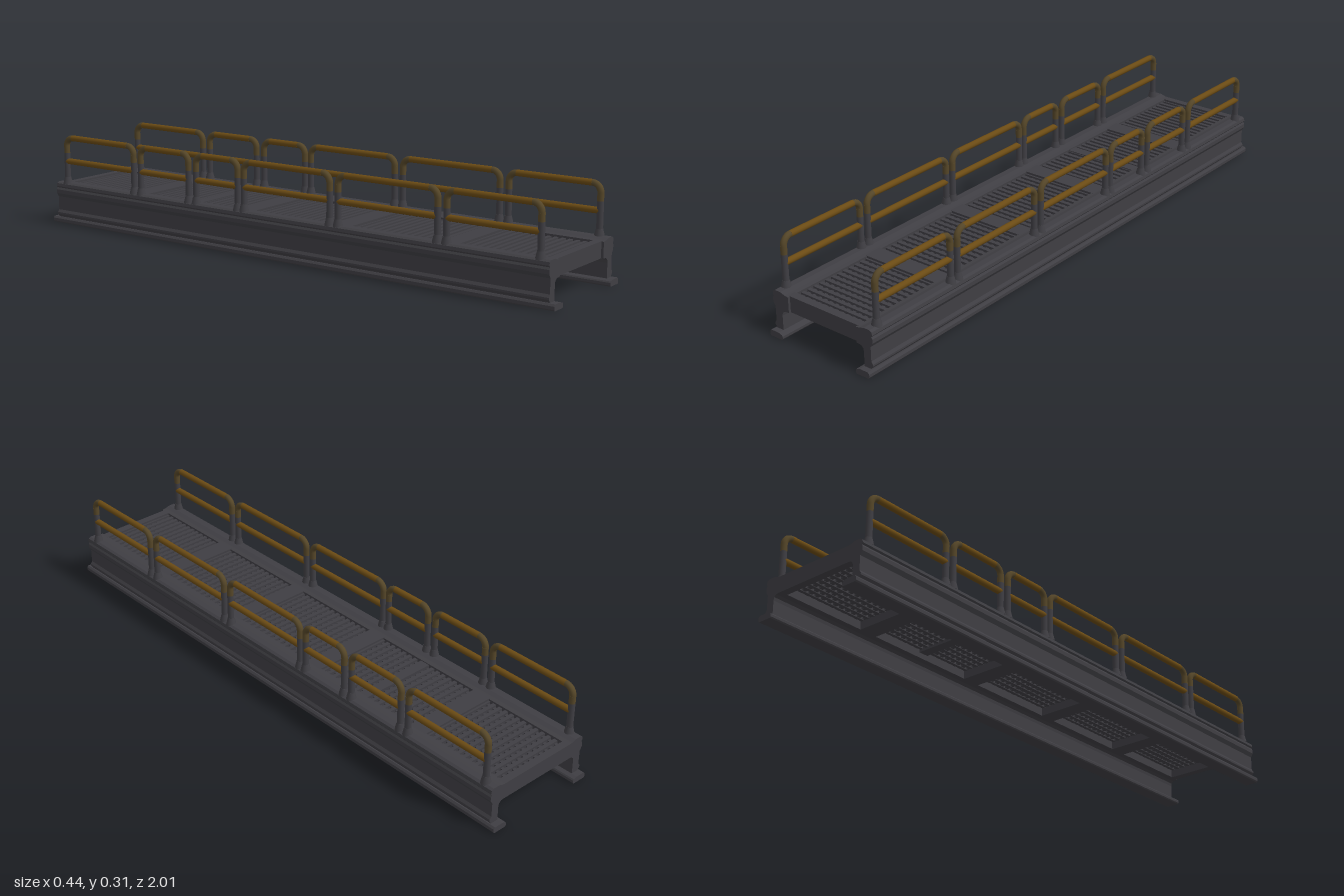
import * as THREE from 'three';

const steel = new THREE.MeshStandardMaterial({ color: 0x3f3e43 });
steel.name = 'dark steel';
const ochre = new THREE.MeshStandardMaterial({ color: 0x6b4b14 });
ochre.name = 'ochre paint';
const worn = new THREE.MeshStandardMaterial({ color: 0x554628 });
worn.name = 'worn ochre paint';

function add(parent, name, geometry, material, x = 0, y = 0, z = 0) {
  const mesh = new THREE.Mesh(geometry, material);
  mesh.name = name;
  mesh.position.set(x, y, z);
  parent.add(mesh);
  return mesh;
}

const box = (w, h, d) => new THREE.BoxGeometry(w, h, d);

// Extrude an outline of [x, y] points along z, mirrored by side, centred on z = 0
function extrudeSide(points, side, length) {
  const shape = new THREE.Shape(points.map(([x, y]) => new THREE.Vector2(x * side, y)));
  const geometry = new THREE.ExtrudeGeometry(shape, { depth: length, bevelEnabled: false });
  return geometry.translate(0, 0, -length / 2);
}

// Side girder: channel section with a foot flange and a swollen top rim
function girder(side) {
  const group = new THREE.Group();
  group.name = side > 0 ? 'leftGirder' : 'rightGirder';
  add(group, 'web', extrudeSide([
    [0.163, 0.01], [0.19, 0.01], [0.19, 0.022], [0.196, 0.03], [0.196, 0.036], [0.19, 0.045],
    [0.19, 0.092], [0.198, 0.105], [0.198, 0.118], [0.194, 0.125], [0.198, 0.13],
    [0.196, 0.14], [0.188, 0.145], [0.166, 0.145], [0.15, 0.14], [0.135, 0.138],
    [0.135, 0.087], [0.153, 0.085], [0.161, 0.078], [0.163, 0.068],
  ], side, 1.96), steel);
  add(group, 'footFlange', extrudeSide([
    [0.15, 0], [0.196, 0], [0.199, 0.004], [0.199, 0.014], [0.194, 0.02],
    [0.163, 0.02], [0.15, 0.016], [0.147, 0.012], [0.147, 0.004],
  ], side, 2), steel);
  return group;
}

// Railing panel between two outer z values, with rounded top corners
function railPanel(x, z0, z1) {
  const group = new THREE.Group();
  group.name = 'railPanel';
  const r = 0.0105, bend = 0.028, top = 0.304;
  const a = z0 + r, b = z1 - r, mid = (a + b) / 2;
  const bar = (length) => new THREE.CylinderGeometry(r, r, length, 12);
  for (const [z, dir] of [[a, -1], [b, 1]]) {
    add(group, 'post', bar(0.12), steel, x, 0.19, z);
    add(group, 'postTop', bar(0.026), worn, x, 0.263, z);
    add(group, 'postSocket', new THREE.CylinderGeometry(0.011, 0.017, 0.025, 12), steel, x, 0.153, z);
    const corner = add(group, 'railCorner', new THREE.TorusGeometry(bend, r, 10, 8, Math.PI / 2),
      worn, x, top - bend, z - dir * bend);
    corner.rotation.y = -dir * Math.PI / 2;
  }
  add(group, 'topRail', bar(b - a - 2 * bend), ochre, x, top, mid).rotation.x = Math.PI / 2;
  add(group, 'midRail', bar(b - a), ochre, x, 0.221, mid).rotation.x = Math.PI / 2;
  return group;
}

// Open grating: crosswise slats over lengthwise bars
function grating(z0, z1) {
  const group = new THREE.Group();
  group.name = 'grating';
  const length = z1 - z0, mid = (z0 + z1) / 2;
  const rows = Math.round(length / 0.025), columns = 13;
  for (let i = 0; i <= rows; i++) {
    add(group, 'slat', box(0.31, 0.018, 0.013), steel, 0, 0.123, z0 + (length * i) / rows);
  }
  for (let i = 0; i <= columns; i++) {
    add(group, 'gratingBar', box(0.011, 0.014, length), steel, -0.148 + (0.296 * i) / columns, 0.119, mid);
  }
  return group;
}

export function createModel() {
  const root = new THREE.Group();
  root.name = 'walkwayBridge';
  const bridge = new THREE.Group();
  bridge.name = 'bridge';
  bridge.rotation.y = 0.0225; // the walkway lies slightly askew
  root.add(bridge);

  // Girders and railings on both sides
  const panels = [[-0.952, -0.615], [-0.604, -0.37], [-0.358, -0.16],
    [-0.155, 0.208], [0.219, 0.604], [0.615, 0.952]];
  for (const side of [-1, 1]) {
    bridge.add(girder(side));
    for (const [z0, z1] of panels) bridge.add(railPanel(side * 0.18, z0, z1));
  }

  // Cross beams between the gratings
  const beams = [[-0.98, -0.955], [-0.66, -0.595], [-0.195, -0.13],
    [0.195, 0.255], [0.585, 0.65], [0.945, 0.972]];
  for (const [z0, z1] of beams) {
    add(bridge, 'crossBeam', box(0.33, 0.053, z1 - z0), steel, 0, 0.1125, (z0 + z1) / 2);
  }
  add(bridge, 'middleSlat', box(0.31, 0.03, 0.035), steel, 0, 0.12, -0.385);

  // Gratings fill the bays
  for (let i = 0; i < beams.length - 1; i++) bridge.add(grating(beams[i][1], beams[i + 1][0]));

  // Clogged areas of the gratings: [x0, x1, z0, z1]
  const clogged = [
    [-0.155, 0.02, -0.595, -0.4], [-0.155, 0, -0.13, 0.02], [-0.155, 0.155, 0.02, 0.1],
    [-0.155, 0.06, 0.255, 0.4], [-0.155, 0.155, 0.69, 0.8], [-0.1, 0.155, 0.8, 0.88],
  ];
  for (const [x0, x1, z0, z1] of clogged) {
    add(bridge, 'cloggedPanel', box(x1 - x0, 0.006, z1 - z0), steel, (x0 + x1) / 2, 0.12, (z0 + z1) / 2);
  }
  return root;
}
